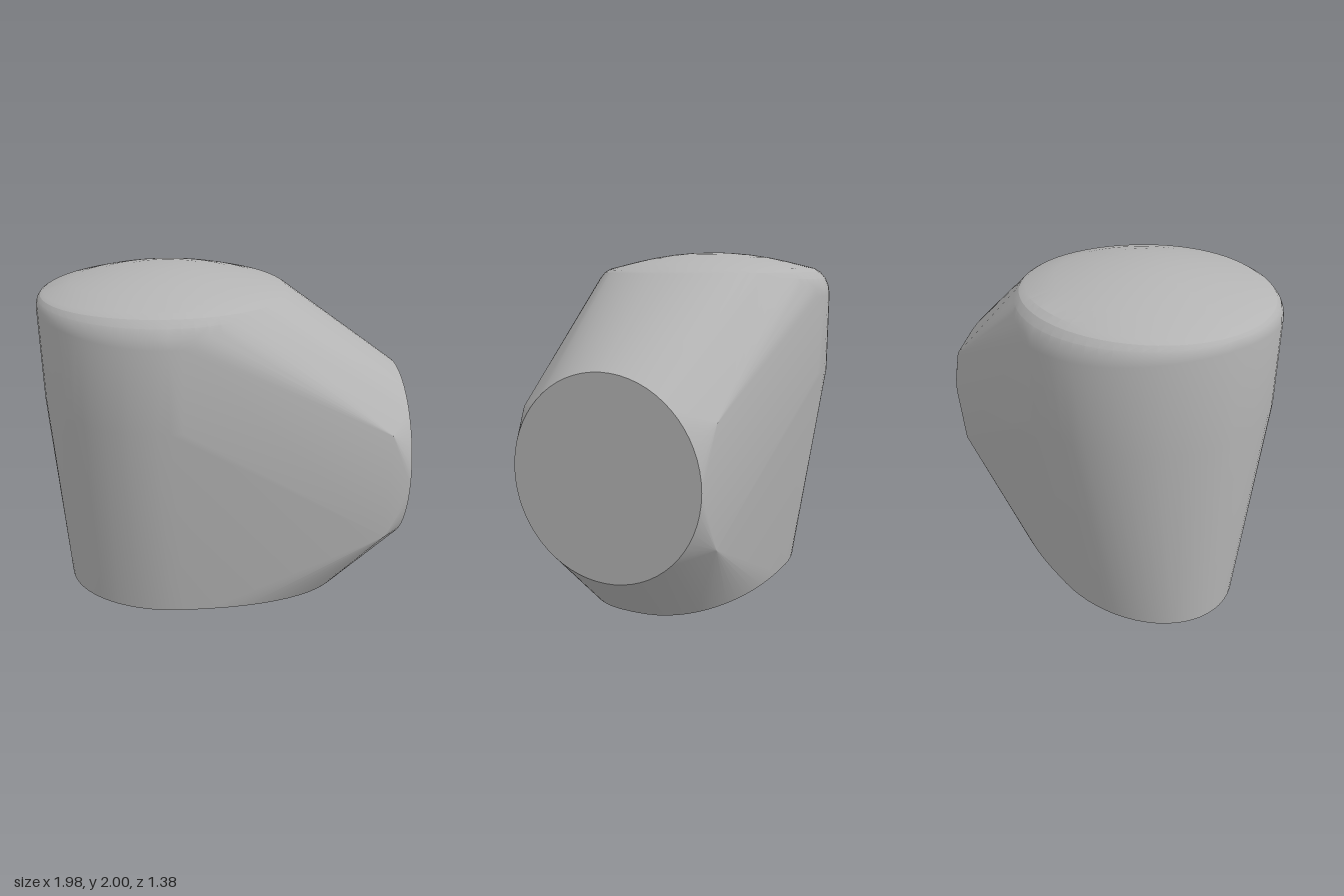
import * as THREE from 'three';
import { ConvexGeometry } from 'three/addons/geometries/ConvexGeometry.js';
import { toCreasedNormals } from 'three/addons/utils/BufferGeometryUtils.js';

export function createModel() {
  const group = new THREE.Group();
  const grey = new THREE.MeshStandardMaterial({ color: 0xb4b4b4 });
  grey.name = 'grey';
  const points = [];
  const add = (x, y, z) => points.push(new THREE.Vector3(x, y, z));
  const N = 64;

  for (let i = 0; i < N; i++) {
    const a = (i / N) * Math.PI * 2, c = Math.cos(a), s = Math.sin(a);
    const ring = (r, y) => add(-0.3 + r * c, y, r * s);

    // domed top with a fillet that is softer towards front and back
    const f = 0.06 + 0.08 * s * s, h = 0.075 + 0.09 * s * s;
    const r0 = 0.69 - f, dome = (r) => 2 - 0.27 * r * r;
    for (const k of [0.2, 0.4, 0.6, 0.8, 1]) ring(r0 * k, dome(r0 * k));
    for (let j = 1; j <= 5; j++) {
      const t = (j / 5) * Math.PI / 2;
      ring(r0 + f * Math.sin(t), dome(r0) - h * (1 - Math.cos(t)));
    }
    ring(0.686, 1.32);

    // domed base: round on the -x side, longer and squarer on the +x side
    const e = c > 0 ? 0.8 : 1;
    const bx = Math.sign(c) * Math.abs(c) ** e * (c > 0 ? 0.97 : 0.67);
    const bz = Math.sign(s) * Math.abs(s) ** e * 0.51;
    const rim = c > 0 ? 0.145 - 0.012 * c ** 4 : 0.145;
    for (const k of [0.2, 0.4, 0.6, 0.8, 1]) add(-0.25 + bx * k, rim * k ** 2.3, bz * k);

    // round flat outlet
    add(0.985, 0.91 + 0.522 * c, 0.522 * s);
  }
  add(-0.3, 2, 0);
  add(-0.25, 0, 0);

  // chamfer corners just behind the outlet
  for (const sy of [-1, 1]) for (const sz of [-1, 1]) {
    add(0.86, 0.907 + sy * 0.305, sz * 0.542);
    add(0.86, 0.907 + sy * 0.53, sz * 0.3);
  }

  const body = new THREE.Mesh(toCreasedNormals(new ConvexGeometry(points), 0.3), grey);
  body.name = 'elbowBody';
  group.add(body);
  return group;
}
